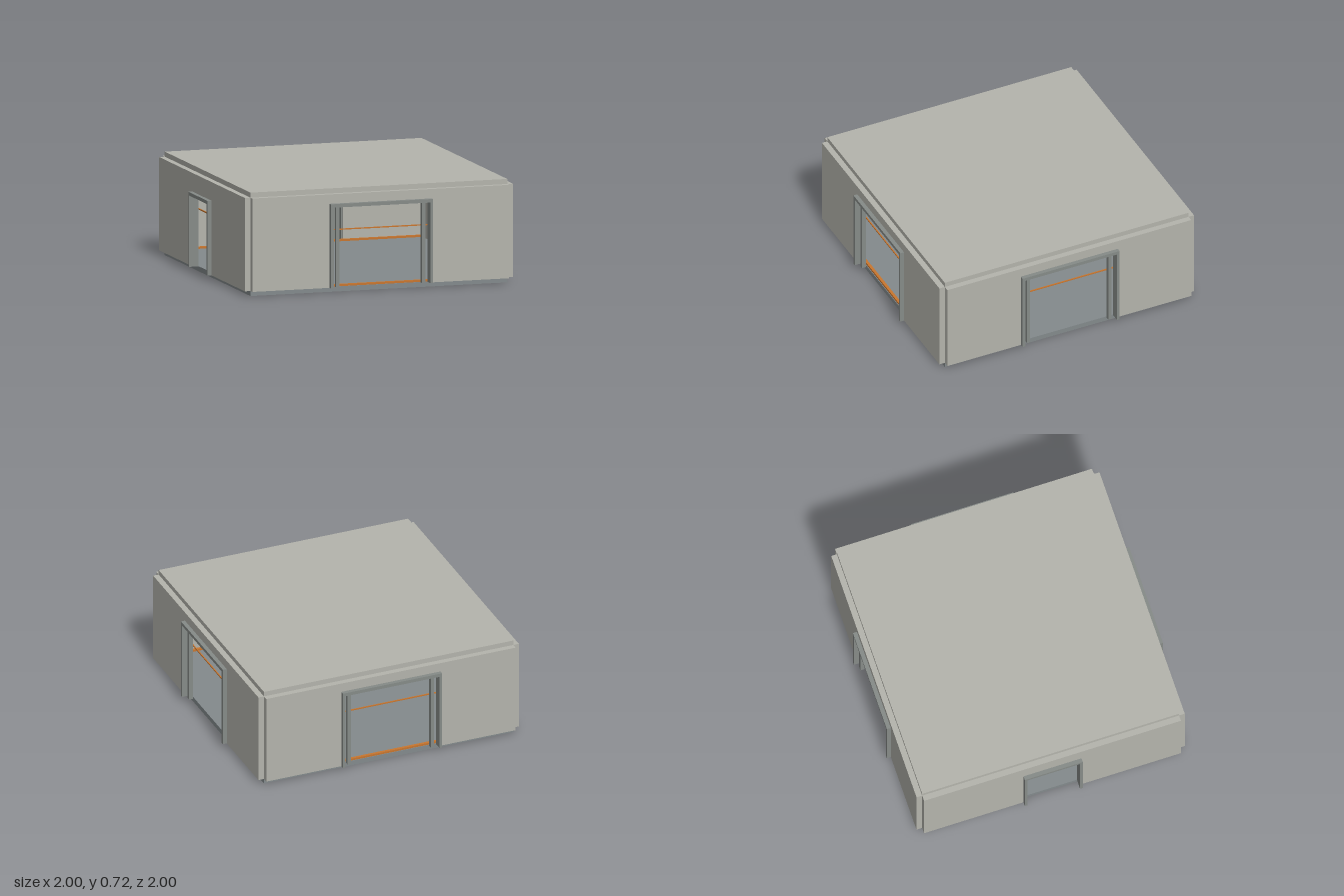
import * as THREE from 'three';

const mat = (name, color) => {
  const m = new THREE.MeshStandardMaterial({ color });
  m.name = name;
  return m;
};

export function createModel() {
  const model = new THREE.Group();
  model.name = 'room';
  const panel = mat('panel grey', 0xb4b4ac);
  const metal = mat('frame grey', 0x868b88);
  const ground = mat('floor grey', 0x838a8c);
  const orange = mat('trim orange', 0xc8762f);

  const H = 0.93;       // half width of the interior
  const T = 0.041;      // wall thickness
  const Y0 = 0.035;     // top of the floor
  const Y1 = 0.685;     // underside of the roof

  const box = (parent, name, material, w, h, d, x, y, z) => {
    const m = new THREE.Mesh(new THREE.BoxGeometry(w, h, d), material);
    m.name = name;
    m.position.set(x, y, z);
    parent.add(m);
    return m;
  };

  // Upright arch: a rectangle with a doorway cut up from its bottom edge
  const arch = (parent, name, material, half, top, doorHalf, doorTop, depth, z) => {
    const s = new THREE.Shape([
      [-half, Y0], [-doorHalf, Y0], [-doorHalf, doorTop], [doorHalf, doorTop],
      [doorHalf, Y0], [half, Y0], [half, top], [-half, top],
    ].map(([x, y]) => new THREE.Vector2(x, y)));
    const m = new THREE.Mesh(new THREE.ExtrudeGeometry(s, { depth, bevelEnabled: false }), material);
    m.name = name;
    m.position.z = z;
    parent.add(m);
  };

  // Floor and roof slabs
  box(model, 'floor', ground, 2 * H, Y0, 2 * H, 0, Y0 / 2, 0);
  box(model, 'roof', panel, 2 * H, 0.035, 2 * H, 0, Y1 + 0.0175, 0);

  // Four sides, each built facing +z and then turned into place
  const sides = [
    { name: 'front', turn: 0, half: 0.37, top: 0.62, wide: true, base: true },
    { name: 'positiveX', turn: Math.PI / 2, half: 0.37, top: 0.62, wide: true, base: false },
    { name: 'back', turn: Math.PI, half: 0.37, top: 0.62, wide: true, base: true },
    { name: 'negativeX', turn: -Math.PI / 2, half: 0.21, top: 0.555, wide: false, base: false },
  ];
  for (const s of sides) {
    const side = new THREE.Group();
    side.name = s.name + 'Side';
    side.rotation.y = s.turn;
    model.add(side);

    // Wall panel with its doorway, and the frame lining it
    arch(side, 'wall', panel, H, Y1, s.half - 0.01, s.top - 0.012, T, H);
    arch(side, 'doorFrame', metal, s.half, s.top, s.half - 0.02, s.top - 0.024, 0.066, H + 0.004);

    // Slim inner posts of the wide doorways
    if (s.wide) {
      for (const k of [-1, 1]) {
        box(side, 'innerPost', metal, 0.025, 0.562, 0.03, k * 0.31, Y0 + 0.281, 0.955);
      }
    }

    // Thin trim around the inside, crossing the doorways
    box(side, 'wallTrim', orange, 2 * H - 0.02, 0.008, 0.008, 0, 0.431, 0.922);
    if (s.base) box(side, 'baseTrim', orange, 2 * H - 0.02, 0.014, 0.02, 0, Y0 + 0.007, 0.915);
  }
  return model;
}
